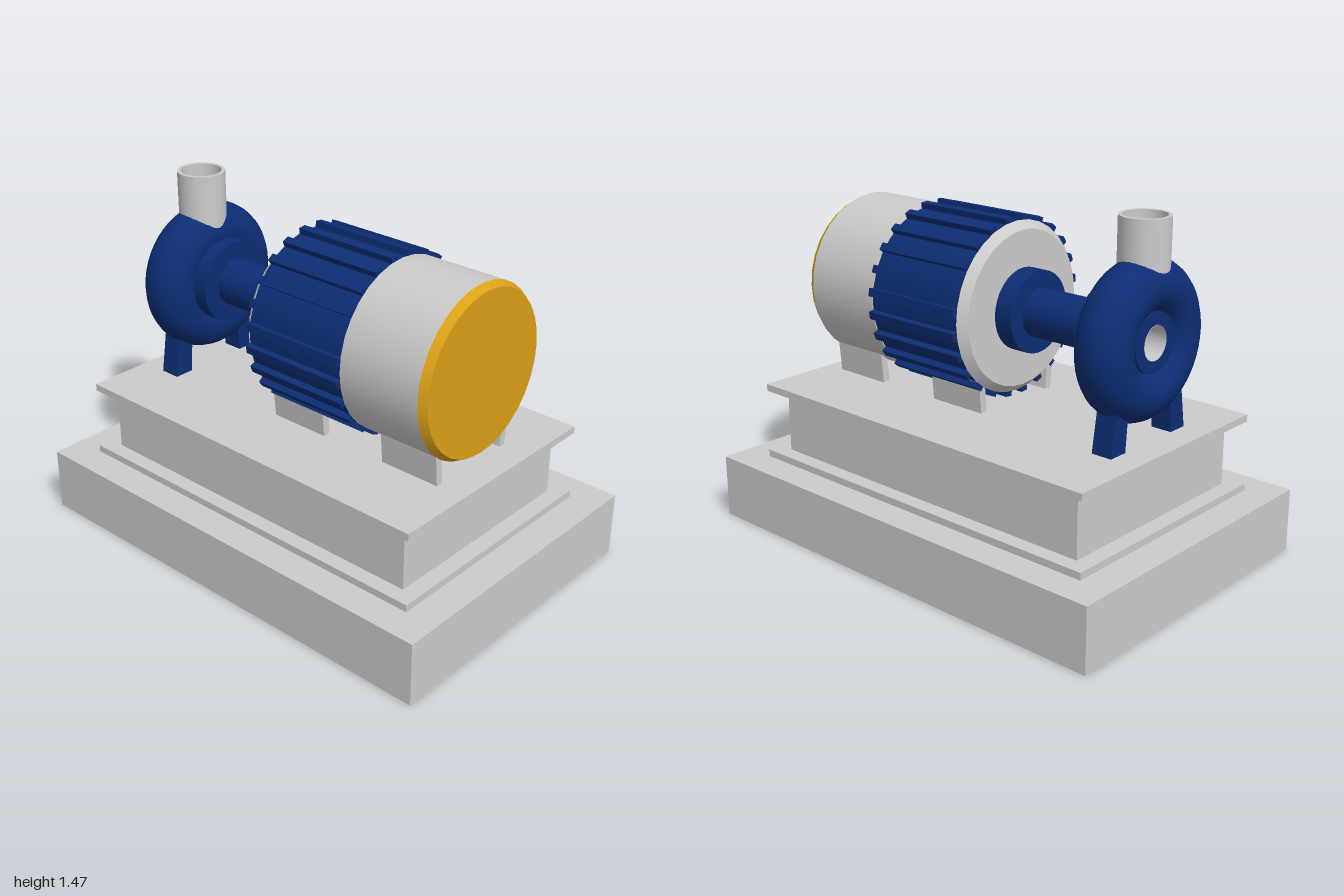
import * as THREE from 'three';

const grey = new THREE.MeshStandardMaterial({ color: 0xcccccc });
const greyOpen = new THREE.MeshStandardMaterial({ color: 0xcccccc, side: THREE.DoubleSide });
const blue = new THREE.MeshStandardMaterial({ color: 0x0d2d74 });
const yellow = new THREE.MeshStandardMaterial({ color: 0xdaa017 });

const AXIS_Y = 1.01, AXIS_Z = 0.01;

export function createModel() {
  const model = new THREE.Group();
  model.name = 'pumpUnit';

  function add(name, geometry, material, x = 0, y = 0, z = 0) {
    const mesh = new THREE.Mesh(geometry, material);
    mesh.name = name;
    mesh.position.set(x, y, z);
    model.add(mesh);
    return mesh;
  }

  // Box given by its x and y ranges and its depth
  function slab(name, halfX, y0, y1, halfZ) {
    add(name, new THREE.BoxGeometry(halfX * 2, y1 - y0, halfZ * 2), grey, 0, (y0 + y1) / 2, 0);
  }

  // Round part along the shaft axis, from x0 (radius r0) to x1 (radius r1)
  function round(name, x0, x1, r0, r1, material, open = false) {
    const g = new THREE.CylinderGeometry(r1, r0, x1 - x0, 32, 1, open);
    g.rotateZ(-Math.PI / 2);
    return add(name, g, material, (x0 + x1) / 2, AXIS_Y, AXIS_Z);
  }

  // Stepped foundation
  slab('foundation', 1, 0, 0.27, 0.665);
  slab('lowerFlange', 0.865, 0.27, 0.30, 0.533);
  slab('pedestal', 0.795, 0.30, 0.57, 0.467);
  slab('topPlate', 0.86, 0.57, 0.60, 0.528);

  // Pump casing
  const casing = new THREE.TorusGeometry(0.21, 0.11, 24, 48);
  casing.rotateY(Math.PI / 2);
  add('pumpCasing', casing, blue, -0.69, 1.0, AXIS_Z);

  // Intake: blue collar with a grey bore
  const collar = new THREE.LatheGeometry(
    [[0.07, 0], [0.07, 0.2], [0.12, 0.2], [0.12, 0.2], [0.12, 0], [0.12, 0], [0.07, 0]]
      .map(([r, h]) => new THREE.Vector2(r, h)), 32);
  collar.rotateZ(-Math.PI / 2);
  const collarMaterial = blue.clone();
  collarMaterial.side = THREE.DoubleSide;
  add('intakeCollar', collar, collarMaterial, -0.765, 1.0, AXIS_Z);
  round('intakeBore', -0.766, -0.585, 0.069, 0.069, greyOpen, true).position.y = 1.0;

  // Outlet pipe, open at the top
  const outlet = new THREE.Group();
  outlet.name = 'outletPipe';
  outlet.position.set(-0.685, 0, 0.03);
  model.add(outlet);
  for (const r of [0.1, 0.085]) {
    const wall = new THREE.Mesh(new THREE.CylinderGeometry(r, r, 0.27, 32, 1, true), greyOpen);
    wall.name = r === 0.1 ? 'outletOuterWall' : 'outletInnerWall';
    wall.position.y = 1.335;
    outlet.add(wall);
  }
  const rim = new THREE.Mesh(new THREE.RingGeometry(0.085, 0.1, 32), greyOpen);
  rim.name = 'outletRim';
  rim.rotation.x = -Math.PI / 2;
  rim.position.y = 1.47;
  outlet.add(rim);

  // Shaft housing with a flange at each end
  round('pumpFlange', -0.64, -0.52, 0.177, 0.177, blue);
  round('shaftHousing', -0.53, -0.19, 0.1, 0.1, blue);
  round('motorFlange', -0.2, -0.11, 0.168, 0.168, blue);

  // Motor body
  round('motorEndBell', -0.118, -0.085, 0.32, 0.352, grey);
  round('finCore', -0.085, 0.385, 0.348, 0.348, blue);
  round('motorBody', 0.385, 0.75, 0.352, 0.352, grey);
  round('endCap', 0.75, 0.782, 0.352, 0.333, yellow);

  // Cooling fins
  const fins = new THREE.Group();
  fins.name = 'coolingFins';
  fins.position.set(0.15, AXIS_Y, AXIS_Z);
  model.add(fins);
  const finGeometry = new THREE.BoxGeometry(0.47, 0.05, 0.032);
  finGeometry.translate(0, 0.347, 0);
  const finCount = 24;
  for (let i = 0; i < finCount; i++) {
    const fin = new THREE.Mesh(finGeometry, blue);
    fin.name = 'fin';
    fin.rotation.x = ((i + 0.5) / finCount) * Math.PI * 2;
    fins.add(fin);
  }

  // Feet, mirrored on both sides of the shaft
  for (const side of [1, -1]) {
    const label = side > 0 ? 'front' : 'back';

    // Pump leg: slanted profile extruded along x
    const profile = new THREE.Shape(
      [[0.145, 0.6], [0.232, 0.6], [0.2, 0.8], [0.13, 0.8]]
        .map(([z, y]) => new THREE.Vector2(-z * side, y)));
    const leg = new THREE.ExtrudeGeometry(profile, { depth: 0.09, bevelEnabled: false });
    leg.rotateY(Math.PI / 2);
    add(label + 'PumpLeg', leg, blue, -0.745, 0, 0.017);

    // Motor feet: thin plates leaning outward
    for (const x of [0.048, 0.613]) {
      const foot = add(label + 'MotorFoot', new THREE.BoxGeometry(0.265, 0.17, 0.032), grey,
        x, 0.698, AXIS_Z + side * 0.204);
      foot.rotation.x = side * 0.09;
    }
  }

  return model;
}
